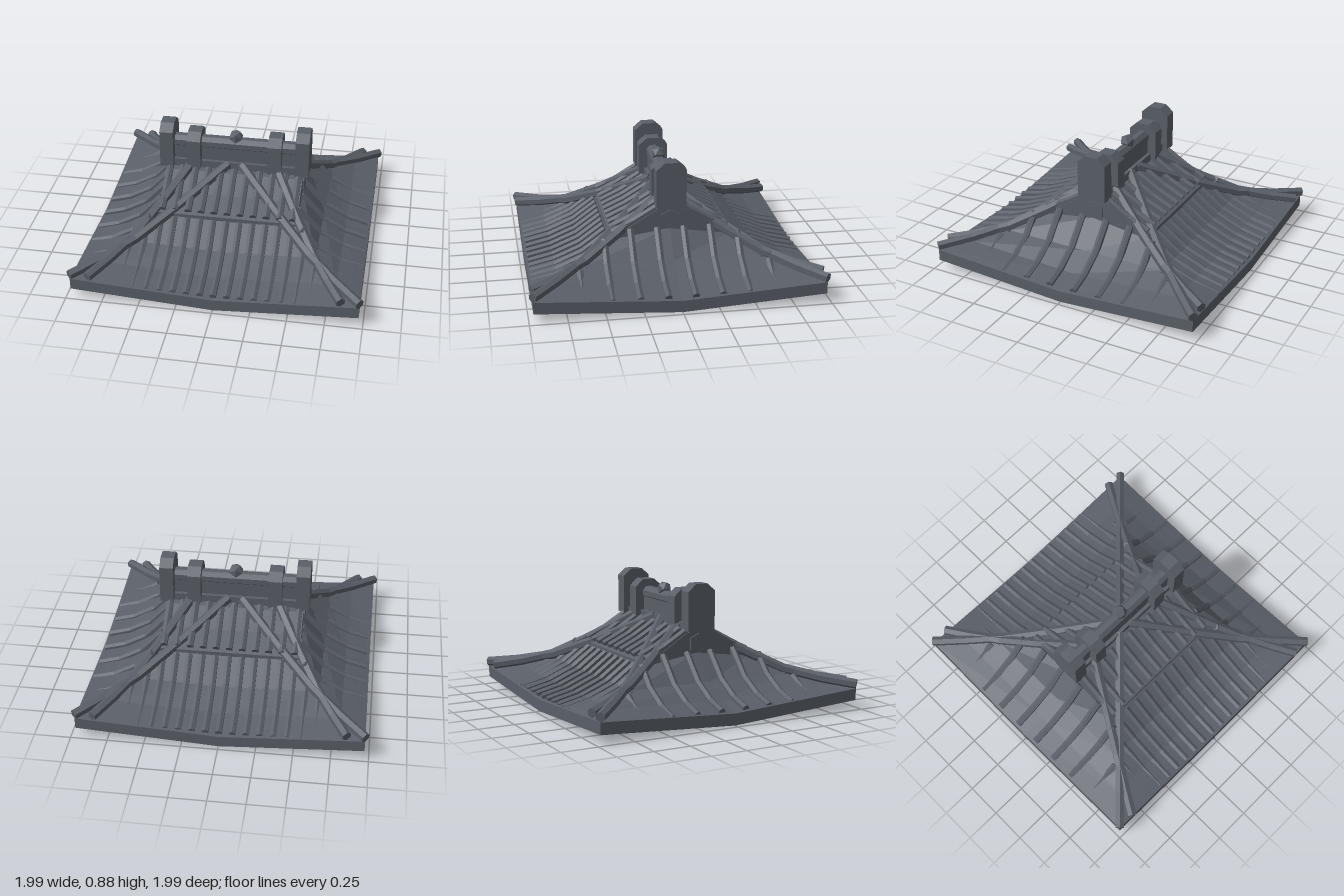
import * as THREE from 'three';

const V = (x, y, z) => new THREE.Vector3(x, y, z);

// Closed faceted solid through rings of equal length
function loft(rings) {
  const pos = [];
  const tri = (...p) => p.forEach((v) => pos.push(v.x, v.y, v.z));
  const n = rings[0].length;
  for (let i = 0; i < rings.length - 1; i++) {
    for (let j = 0; j < n; j++) {
      const k = (j + 1) % n;
      tri(rings[i][j], rings[i][k], rings[i + 1][k]);
      tri(rings[i][j], rings[i + 1][k], rings[i + 1][j]);
    }
  }
  const centre = (r) => r.reduce((s, p) => s.add(p), V(0, 0, 0)).divideScalar(n);
  const first = rings[0], last = rings[rings.length - 1];
  const c0 = centre(first), c1 = centre(last);
  for (let j = 0; j < n; j++) {
    const k = (j + 1) % n;
    tri(c0, first[k], first[j]);
    tri(c1, last[j], last[k]);
  }
  const g = new THREE.BufferGeometry();
  g.setAttribute('position', new THREE.Float32BufferAttribute(pos, 3));
  g.computeVertexNormals();
  return g;
}

// Six-sided bar along a path
function bar(points, radius) {
  return loft(points.map((p, i) => {
    const d = points[Math.min(i + 1, points.length - 1)].clone()
      .sub(points[Math.max(i - 1, 0)]).normalize();
    const u = V(0, 1, 0).cross(d).normalize();
    const v = d.clone().cross(u);
    return Array.from({ length: 6 }, (_, k) => {
      const a = k * Math.PI / 3 + Math.PI / 6;
      return p.clone().addScaledVector(u, radius * Math.cos(a)).addScaledVector(v, radius * Math.sin(a));
    });
  }));
}

// Piecewise linear lookup in [key, value] pairs with rising keys
function lookup(table, t) {
  for (let i = 1; i < table.length; i++) {
    const [a, ya] = table[i - 1], [b, yb] = table[i];
    if (t <= b || i === table.length - 1) return ya + (yb - ya) * (t - a) / (b - a);
  }
}

export function createModel() {
  const slate = new THREE.MeshStandardMaterial({ color: 0x5a5f68 });
  slate.name = 'slate';
  const model = new THREE.Group();
  const add = (name, geometry, x = 0, y = 0, z = 0) => {
    const m = new THREE.Mesh(geometry, slate);
    m.name = name;
    m.position.set(x, y, z);
    model.add(m);
    return m;
  };

  // Lower roof skirt with lifted corners: half x, half z, y at front, side and corner
  const ring = (hx, hz, yf, ys, yc) => [
    V(hx, yc, hz), V(hx, ys, 0), V(hx, yc, -hz), V(0, yf, -hz),
    V(-hx, yc, -hz), V(-hx, ys, 0), V(-hx, yc, hz), V(0, yf, hz),
  ];
  const skirt = [ring(0.97, 0.97, 0.005, 0.005, 0.065)];
  skirt[0].push(); // underside edge
  skirt.push(
    ring(0.97, 0.97, 0.085, 0.085, 0.145),
    ring(0.8, 0.78, 0.13, 0.135, 0.175),
    ring(0.64, 0.59, 0.21, 0.23, 0.235),
    ring(0.48, 0.41, 0.34, 0.41, 0.35),
  );
  // Pull the underside centre flat with the edge middles
  const under = ring(0.02, 0.02, 0.002, 0.002, 0.002);
  add('roofSkirt', loft([under, ...skirt]));

  // Upper gabled roof
  const slope = [[0, 0.57], [0.1, 0.54], [0.25, 0.445], [0.41, 0.37]];
  const extrudeX = (pts, width) => {
    const g = new THREE.ExtrudeGeometry(
      new THREE.Shape(pts.map(([z, y]) => new THREE.Vector2(z, y))),
      { depth: width, bevelEnabled: false });
    return g.translate(0, 0, -width / 2).rotateY(Math.PI / 2);
  };
  const mirrored = (half) => [...half, ...half.filter((p) => p[0] > 0).reverse().map(([z, y]) => [-z, y])];
  add('gableRoof', extrudeX(mirrored([[0, 0.57], [0.1, 0.54], [0.25, 0.445], [0.41, 0.37], [0.41, 0.33]]), 0.97));
  for (const s of [-1, 1]) {
    add('gablePanel', extrudeX(mirrored([[0, 0.54], [0.065, 0.51], [0.065, 0.43]]), 0.02), s * 0.485);
  }

  // Tile ribs on the front and back slopes
  const front = [[0.41, 0.34], [0.59, 0.21], [0.78, 0.13], [0.97, 0.085]];
  const side = [[0.48, 0.4], [0.64, 0.225], [0.8, 0.135], [0.97, 0.085]];
  const hipZ = [[0.48, 0.42], [0.64, 0.59], [0.8, 0.78], [0.97, 0.97]];
  const hipX = [[0.41, 0.48], [0.59, 0.64], [0.78, 0.8], [0.97, 0.97]];
  const path = (start, end, keys) => [start, ...keys.filter((k) => k > start + 0.02 && k < end), end];
  for (const s of [-1, 1]) {
    for (let i = -8; i <= 8; i++) {
      const x = i * 0.091;
      const start = Math.abs(x) < 0.48 ? 0.42 : lookup(hipZ, Math.abs(x));
      const pts = path(start, 0.95, [0.59, 0.78]).map((z) => V(x, lookup(front, z) + 0.012, s * z));
      add('lowerRib', bar(pts, 0.025));
    }
    for (let i = -5; i <= 5; i++) {
      const pts = [0.08, 0.25, 0.395].map((z) => V(i * 0.091, lookup(slope, z) + 0.012, s * z));
      add('upperRib', bar(pts, 0.026));
    }
    // Ribs on the two side slopes
    for (const z of [-0.64, -0.455, -0.273, -0.091, 0.091, 0.273, 0.455, 0.64]) {
      const start = Math.abs(z) < 0.41 ? 0.48 : lookup(hipX, Math.abs(z));
      const pts = path(start, 0.95, [0.64, 0.8]).map((x) => V(s * x, lookup(side, x) + 0.01, z));
      add('sideRib', bar(pts, 0.026));
    }
  }

  // Crossing pairs of hip beams running down to each corner
  const beam = [[0.05, 0.585], [0.2, 0.49], [0.37, 0.385], [0.6, 0.262], [0.8, 0.208], [0.972, 0.178]];
  for (const sx of [-1, 1]) {
    for (const sz of [-1, 1]) {
      add('hipBeam', bar(beam.map(([z, y]) => V(sx * z, y, sz * z)), 0.034));
      add('innerHipBeam', bar(beam.map(([z, y]) => V(sx * (0.27 + 0.595 * z), y, sz * z)), 0.034));
    }
  }

  // Main ridge with end blocks, collars and a finial
  add('ridgeBase', new THREE.BoxGeometry(0.9, 0.06, 0.13), 0, 0.575, 0);
  add('ridgeWall', new THREE.BoxGeometry(0.9, 0.13, 0.08), 0, 0.66, 0);
  const cap = new THREE.CylinderGeometry(0.05, 0.05, 0.9, 8, 1).rotateY(Math.PI / 8).rotateZ(Math.PI / 2).toNonIndexed();
  cap.computeVertexNormals();
  add('ridgeCap', cap, 0, 0.728, 0);
  const block = (top, w) => extrudeX(mirrored([[0.045, top], [0.103, top - 0.05], [0.103, 0.56]]), w);
  for (const s of [-1, 1]) {
    add('ridgeEndBlock', block(0.88, 0.095), s * 0.478);
    add('ridgeCollar', block(0.825, 0.095), s * 0.285);
  }
  add('finial', new THREE.IcosahedronGeometry(0.053, 0), 0, 0.785, 0);

  return model;
}
